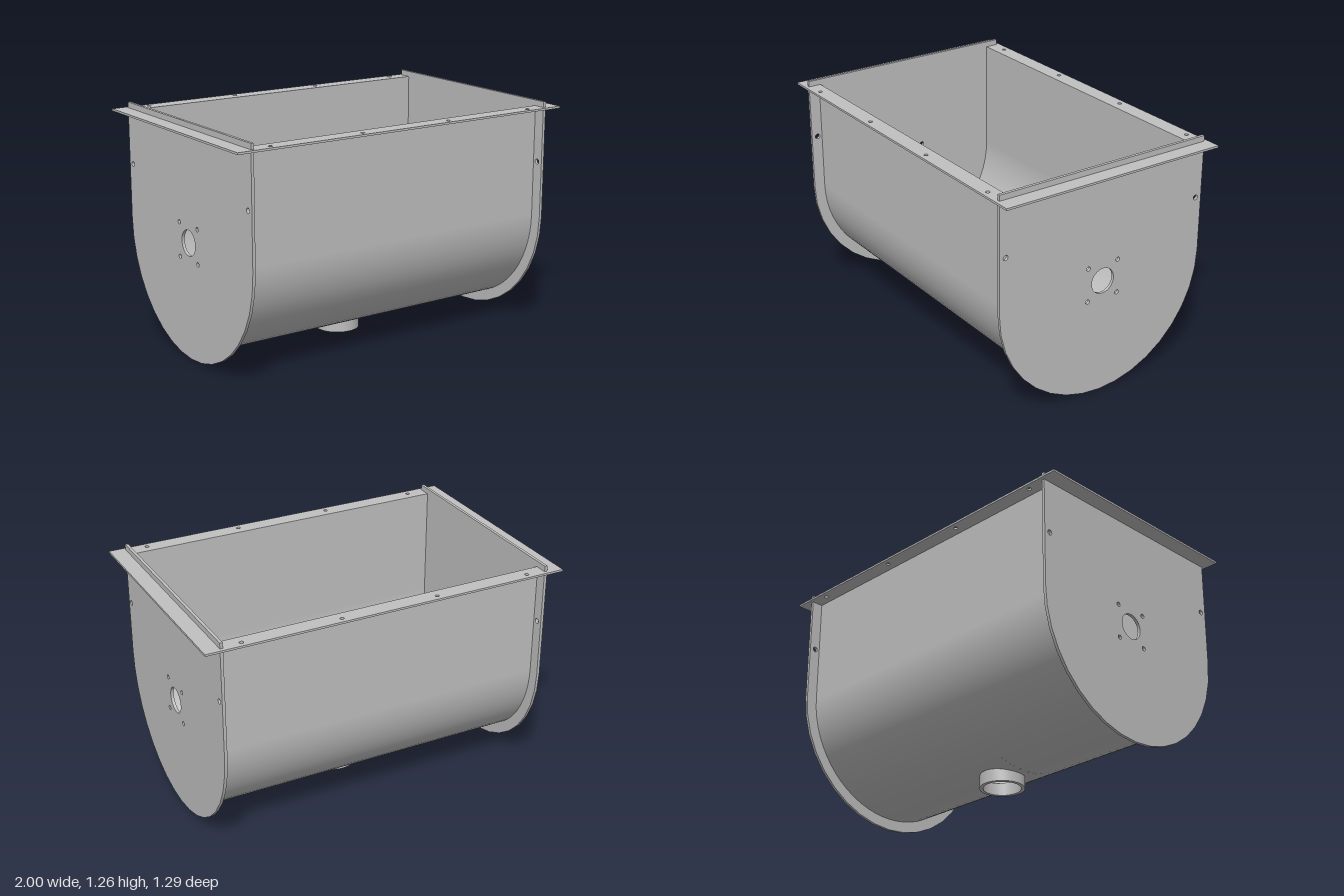
import * as THREE from 'three';
import { toCreasedNormals } from 'three/addons/utils/BufferGeometryUtils.js';

const CY = 0.625;            // height of the trough axis
const TOP = 1.22;            // top of the trough walls
const R_OUT = 0.563, R_IN = 0.553;
const HALF_LEN = 0.905;
const HOLE = 0.1;            // outlet radius

const steel = new THREE.MeshStandardMaterial({ color: 0xc0c0c0 });
steel.name = 'steel';

function mesh(name, geometry) {
  const m = new THREE.Mesh(geometry, steel);
  m.name = name;
  return m;
}

function circle(shape, x, y, r) {
  const p = new THREE.Path();
  p.absarc(x, y, r, 0, Math.PI * 2, true);
  shape.holes.push(p);
}

function extrude(shape, depth, curveSegments) {
  const g = new THREE.ExtrudeGeometry(shape, { depth, bevelEnabled: false, curveSegments });
  return g.translate(0, 0, -depth / 2);
}

// One U-shaped skin with an outlet hole; t is the angle round the bottom, then on up the walls
function skin(r, facing) {
  const pos = [], nor = [], idx = [];
  const quarter = Math.PI / 2, step = Math.PI / 32;
  const tMax = quarter + (TOP - CY) / r;
  const arc = (from, to) => Array.from({ length: to - from + 1 }, (_, i) => (from + i) * step);
  const a = new THREE.Vector3(), b = new THREE.Vector3(), c = new THREE.Vector3(), n = new THREE.Vector3();

  function patch(cols, rows, map) {
    const base = pos.length / 3;
    for (let i = 0; i <= cols; i++) for (let j = 0; j <= rows; j++) {
      const [x, t] = map(i, j);
      const k = Math.max(-quarter, Math.min(quarter, t));
      pos.push(x, CY - r * Math.cos(k) + Math.abs(t - k) * r, r * Math.sin(k));
      nor.push(0, -Math.cos(k) * facing, Math.sin(k) * facing);
    }
    const tri = (p, q, s) => {
      a.fromArray(pos, p * 3); b.fromArray(pos, q * 3); c.fromArray(pos, s * 3);
      n.fromArray(nor, p * 3);
      const out = b.sub(a).cross(c.sub(a)).dot(n) > 0;
      idx.push(p, out ? q : s, out ? s : q);
    };
    for (let i = 0; i < cols; i++) for (let j = 0; j < rows; j++) {
      const p = base + i * (rows + 1) + j, q = p + rows + 1;
      tri(p, q, p + 1);
      tri(q, q + 1, p + 1);
    }
  }

  // Plain lengths either side of the outlet
  const X = 0.16, T = 3 * step;
  const strip = (x0, x1, ts) => patch(1, ts.length - 1, (i, j) => [i ? x1 : x0, ts[j]]);
  const full = [-tMax, ...arc(-16, 16), tMax];
  strip(-HALF_LEN, -X, full);
  strip(X, HALF_LEN, full);
  strip(-X, X, [-tMax, ...arc(-16, -3)]);
  strip(-X, X, [...arc(3, 16), tMax]);

  // Square patch round the outlet
  patch(48, 4, (i, j) => {
    const w = i / 48 * Math.PI * 2, co = Math.cos(w), si = Math.sin(w);
    const m = Math.max(Math.abs(co), Math.abs(si)), f = j / 4;
    return [
      THREE.MathUtils.lerp(HOLE * co, X * co / m, f),
      THREE.MathUtils.lerp(Math.asin(HOLE * si / r), T * si / m, f),
    ];
  });

  const g = new THREE.BufferGeometry();
  g.setAttribute('position', new THREE.Float32BufferAttribute(pos, 3));
  g.setAttribute('normal', new THREE.Float32BufferAttribute(nor, 3));
  g.setIndex(idx);
  return g;
}

// End plate: straight sides, round bottom, shaft hole and bolt holes
function endPlate() {
  const r = 0.625, s = new THREE.Shape();
  s.moveTo(r, 1.257);
  s.lineTo(-r, 1.257);
  for (let i = 0; i <= 18; i++) {
    const w = Math.PI * (1 + i / 18);
    s.lineTo(r * Math.cos(w), CY + r * Math.sin(w));
  }
  s.closePath();
  circle(s, 0, 0.627, 0.069);
  for (const side of [-1, 1]) {
    circle(s, side * 0.59, 0.926, 0.014);
    for (const y of [0.535, 0.719]) circle(s, side * 0.092, y, 0.012);
  }
  return toCreasedNormals(extrude(s, 0.016, 16).rotateY(Math.PI / 2), 0.5);
}

// Flat rim round the opening, drilled along both long sides
function rim() {
  const s = new THREE.Shape();
  const rect = (p, w, h) => {
    p.moveTo(-w, -h); p.lineTo(w, -h); p.lineTo(w, h); p.lineTo(-w, h); p.closePath();
  };
  rect(s, 1, 0.645);
  const opening = new THREE.Path();
  rect(opening, HALF_LEN, R_IN + 0.002);
  s.holes.push(opening);
  for (const x of [-0.8, -0.267, 0.267, 0.8])
    for (const z of [-0.61, 0.61]) circle(s, x, z, 0.011);
  return extrude(s, 0.011, 8).rotateX(-Math.PI / 2);
}

// Outlet collar with its top edge trimmed to the curve of the trough
function collar() {
  const s = new THREE.Shape();
  s.absarc(0, 0, 0.12, 0, Math.PI * 2, false);
  circle(s, 0, 0, HOLE);
  const g = extrude(s, 0.06, 24).rotateX(-Math.PI / 2);
  const p = g.attributes.position;
  for (let i = 0; i < p.count; i++) {
    const z = p.getZ(i), r = R_IN + 0.002;
    p.setY(i, p.getY(i) > 0 ? CY - Math.sqrt(r * r - z * z) : 0.005);
  }
  return toCreasedNormals(g, 0.5);
}

export function createModel() {
  const model = new THREE.Group();
  model.name = 'trough';

  const body = new THREE.Group();
  body.name = 'troughBody';
  body.add(mesh('outerSkin', skin(R_OUT, 1)), mesh('innerSkin', skin(R_IN, -1)));
  model.add(body);

  const plate = endPlate();
  for (const [name, side] of [['leftEndPlate', 1], ['rightEndPlate', -1]]) {
    const m = mesh(name, plate);
    m.position.x = side * 0.908;
    model.add(m);
  }

  const top = mesh('rim', rim());
  top.position.y = 1.221;
  model.add(top, mesh('outletCollar', collar()));
  return model;
}
